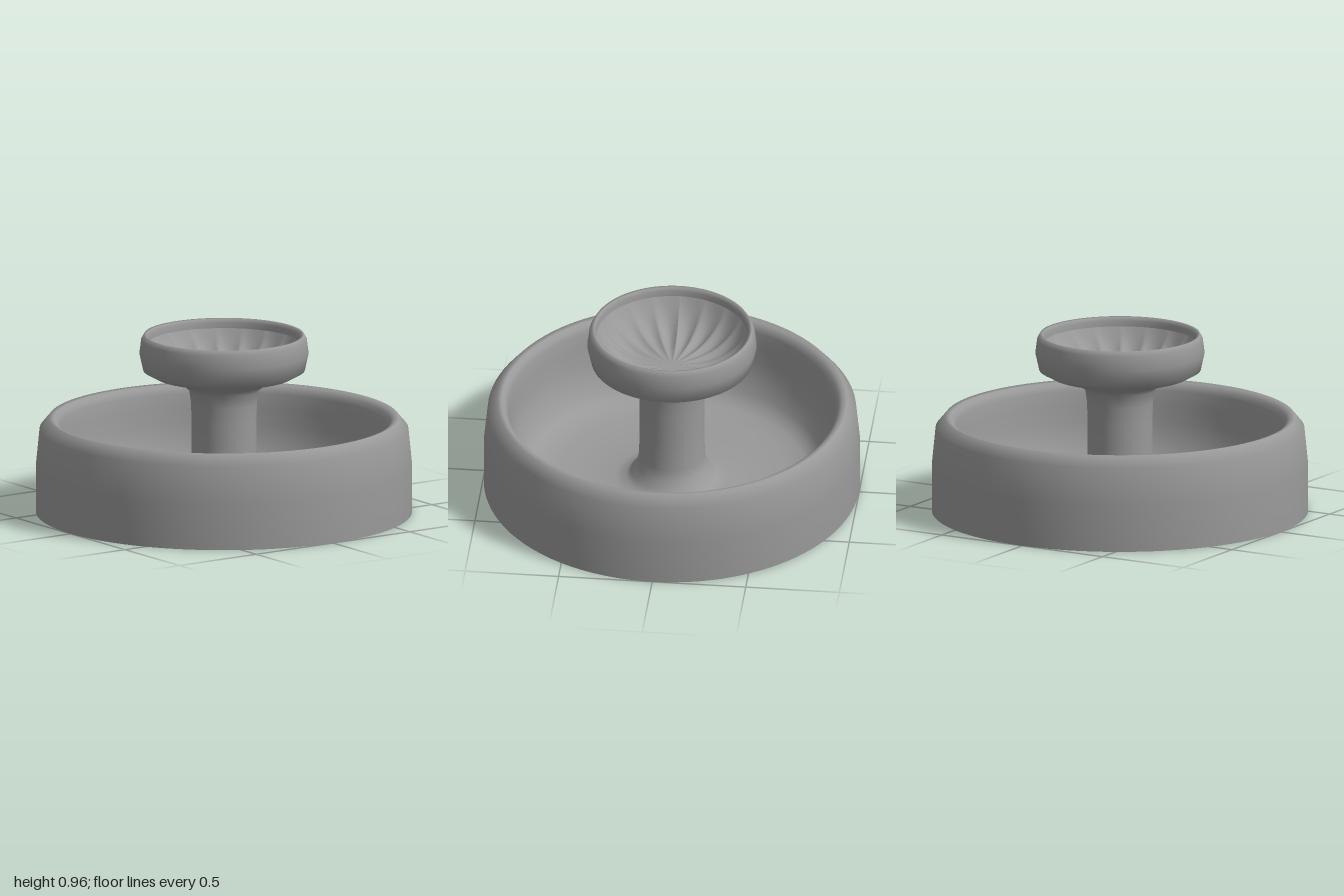
import * as THREE from 'three';

const material = new THREE.MeshStandardMaterial({ color: 0x999999, side: THREE.DoubleSide });
const SEGMENTS = 96;

// Smooth surface of revolution from [radius, height] pairs
function turned(name, profile) {
  const points = profile.map(([r, y]) => new THREE.Vector2(r, y));
  const mesh = new THREE.Mesh(new THREE.LatheGeometry(points, SEGMENTS), material);
  mesh.name = name;
  return mesh;
}

// Dished inside of the upper bowl, with soft radial flutes that fade out at the centre and the rim
function flutedDish(radius, flutes) {
  const rings = 24;
  const points = [];
  for (let i = 0; i <= rings; i++) points.push(new THREE.Vector2(radius * (1 - i / rings), 0));
  const geometry = new THREE.LatheGeometry(points, flutes * 10);
  const pos = geometry.attributes.position;
  for (let i = 0; i < pos.count; i++) {
    const x = pos.getX(i), z = pos.getZ(i);
    const t = Math.min(1, Math.hypot(x, z) / radius);
    const wave = 0.5 - Math.abs(Math.cos(Math.atan2(z, x) * flutes / 2));
    const depth = 0.1 * t * t * (1 - t * t);
    pos.setY(i, 0.73 + 0.18 * Math.pow(t, 4) + wave * depth);
  }
  geometry.computeVertexNormals();
  const mesh = new THREE.Mesh(geometry, material);
  mesh.name = 'flutedDish';
  return mesh;
}

export function createModel() {
  const group = new THREE.Group();
  group.name = 'fountain';

  // Basin shell, open underneath, running into the hollow stem
  group.add(turned('basinAndStem', [
    [1, 0], [1, 0.25], [0.98, 0.45], [0.93, 0.51],
    [0.905, 0.505], [0.885, 0.49], [0.872, 0.46], [0.864, 0.38], [0.856, 0.29], [0.84, 0.2],
    [0.8, 0.11], [0.765, 0.07], [0.72, 0.043], [0.62, 0.025], [0.45, 0.022], [0.3, 0.03],
    [0.24, 0.045], [0.218, 0.075], [0.187, 0.12], [0.175, 0.18], [0.172, 0.35], [0.173, 0.5],
    [0.175, 0.59], [0.185, 0.66], [0.215, 0.688], [0.26, 0.715], [0.29, 0.737],
  ]));

  // Rounded outside and lip of the upper bowl
  group.add(turned('upperBowl', [
    [0.26, 0.735], [0.37, 0.737], [0.43, 0.77], [0.45, 0.86], [0.44, 0.935],
    [0.425, 0.961], [0.412, 0.958], [0.405, 0.94], [0.403, 0.91],
  ]));

  group.add(flutedDish(0.403, 18));
  return group;
}
